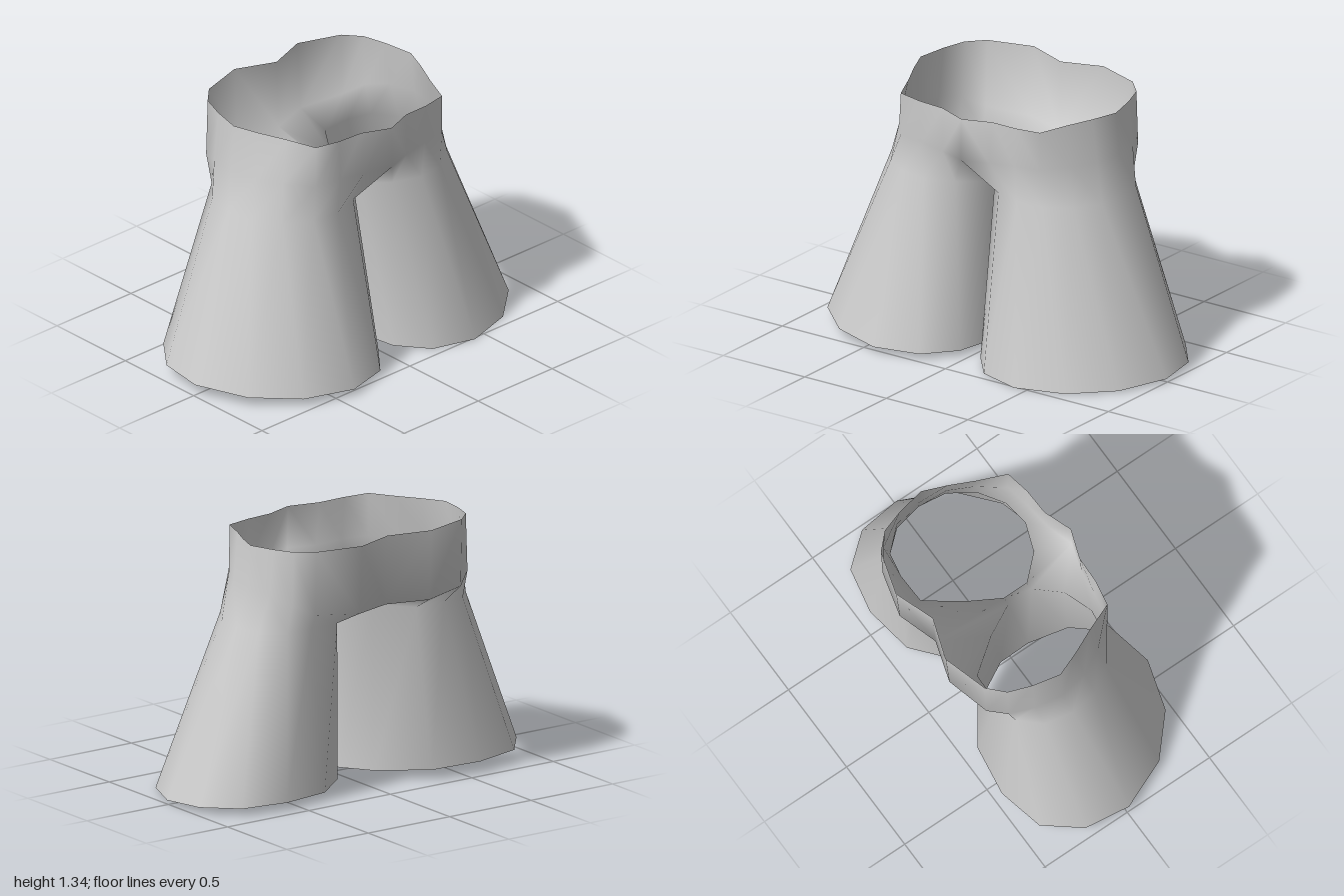
import * as THREE from 'three';
import { mergeVertices } from 'three/addons/utils/BufferGeometryUtils.js';

// Cross-sections of one half, running front centre -> outer side -> back centre.
// Waist edge: [x, z]
const WAIST = [[0, 0.365], [0.15, 0.31], [0.29, 0.305], [0.42, 0.28], [0.48, 0.13], [0.54, 0],
  [0.59, -0.13], [0.56, -0.28], [0.52, -0.4], [0.44, -0.48], [0.21, -0.55], [0, -0.475]];
// Fullest line of belly and seat: [x, y, z]
const HIP = [[0, 1.07, 0.37], [0.14, 1.07, 0.325], [0.28, 1.08, 0.305], [0.42, 1.08, 0.28],
  [0.52, 1.08, 0.15], [0.585, 1.08, 0.02], [0.612, 1.08, -0.13], [0.585, 1.07, -0.28],
  [0.53, 1.04, -0.4], [0.44, 0.99, -0.47], [0.21, 0.973, -0.528], [0, 0.97, -0.46]];
// Top of the leg, a closed ring: [x, y, z]
const THIGH = [[0.02, 0.87, 0.11], [0.13, 0.88, 0.23], [0.28, 0.88, 0.285], [0.42, 0.88, 0.265],
  [0.55, 0.88, 0.18], [0.635, 0.88, 0.05], [0.655, 0.88, -0.1], [0.625, 0.88, -0.25],
  [0.53, 0.89, -0.36], [0.4, 0.895, -0.385], [0.24, 0.895, -0.38], [0.11, 0.89, -0.2], [0.02, 0.87, -0.03]];
// Leg opening, a closed ring: [x, z]
const HEM = [[0.025, 0.1], [0.07, 0.3], [0.2, 0.45], [0.43, 0.512], [0.69, 0.435], [0.89, 0.26],
  [1, 0.01], [0.97, -0.22], [0.83, -0.39], [0.59, -0.44], [0.33, -0.4], [0.12, -0.22], [0.03, -0.06]];

// Rows of points for one side; the two sides differ slightly
function rowsFor(side) {
  const wide = side < 0 ? 1.03 : 1;
  const waist = WAIST.map(([x, z]) => {
    const px = side * x * wide;
    return [px, 1.305 - 0.05 * z - 0.022 * px, z];
  });
  const place = ([x, y, z]) => [side * x * wide, y, z];
  const hem = HEM.map(([x, z]) => (side > 0
    ? [x, 0.024 - 0.045 * z - 0.006 * x, z]
    : [-(x - 0.03 * (1 - x)), 0.033 - 0.025 * z + 0.03 * x, z * 1.055]));
  return { waist, hip: HIP.map(place), thigh: THIGH.map(place), hem };
}

export function createModel() {
  const fabric = new THREE.MeshStandardMaterial({ color: 0xcccccc, side: THREE.DoubleSide });
  fabric.name = 'grey fabric';

  const positions = [];
  const ranges = [];
  const tri = (side, a, b, c) => positions.push(...(side > 0 ? [a, b, c] : [a, c, b]).flat());
  const quad = (side, a, b, c, d) => { tri(side, a, b, c); tri(side, a, c, d); };
  const band = (side, top, low, count) => {
    for (let i = 0; i < count; i++) {
      const j = (i + 1) % top.length;
      quad(side, top[i], low[i], low[j], top[j]);
    }
  };
  const part = (name, build) => {
    const start = positions.length / 3;
    build();
    ranges.push({ name, start, count: positions.length / 3 - start });
  };

  const halves = [1, -1].map((side) => ({ side, ...rowsFor(side) }));
  const [l, r] = halves;

  // Waist down to the leg tops, with the crotch strip joining both halves
  part('hips', () => {
    for (const { side, waist, hip, thigh } of halves) {
      band(side, waist, hip, 11);
      band(side, hip, thigh.slice(0, 12), 11);
      tri(side, hip[11], thigh[11], thigh[12]);
    }
    tri(1, l.hip[0], r.thigh[0], l.thigh[0]);
    quad(1, r.thigh[0], r.thigh[12], l.thigh[12], l.thigh[0]);
    tri(1, l.hip[11], l.thigh[12], r.thigh[12]);
  });

  // Flared tubes, open at the hem
  for (const { side, thigh, hem } of halves) {
    part(side > 0 ? 'leftLeg' : 'rightLeg', () => band(side, thigh, hem, 13));
  }

  // Weld everything so the shading flows smoothly from hips to legs
  let cloth = new THREE.BufferGeometry();
  cloth.setAttribute('position', new THREE.Float32BufferAttribute(positions, 3));
  cloth = mergeVertices(cloth, 1e-4);
  cloth.computeVertexNormals();

  const model = new THREE.Group();
  model.name = 'shorts';
  const index = Array.from(cloth.index.array);
  for (const { name, start, count } of ranges) {
    const geometry = new THREE.BufferGeometry();
    geometry.setAttribute('position', cloth.attributes.position);
    geometry.setAttribute('normal', cloth.attributes.normal);
    geometry.setIndex(index.slice(start, start + count));
    const mesh = new THREE.Mesh(geometry, fabric);
    mesh.name = name;
    model.add(mesh);
  }
  return model;
}
